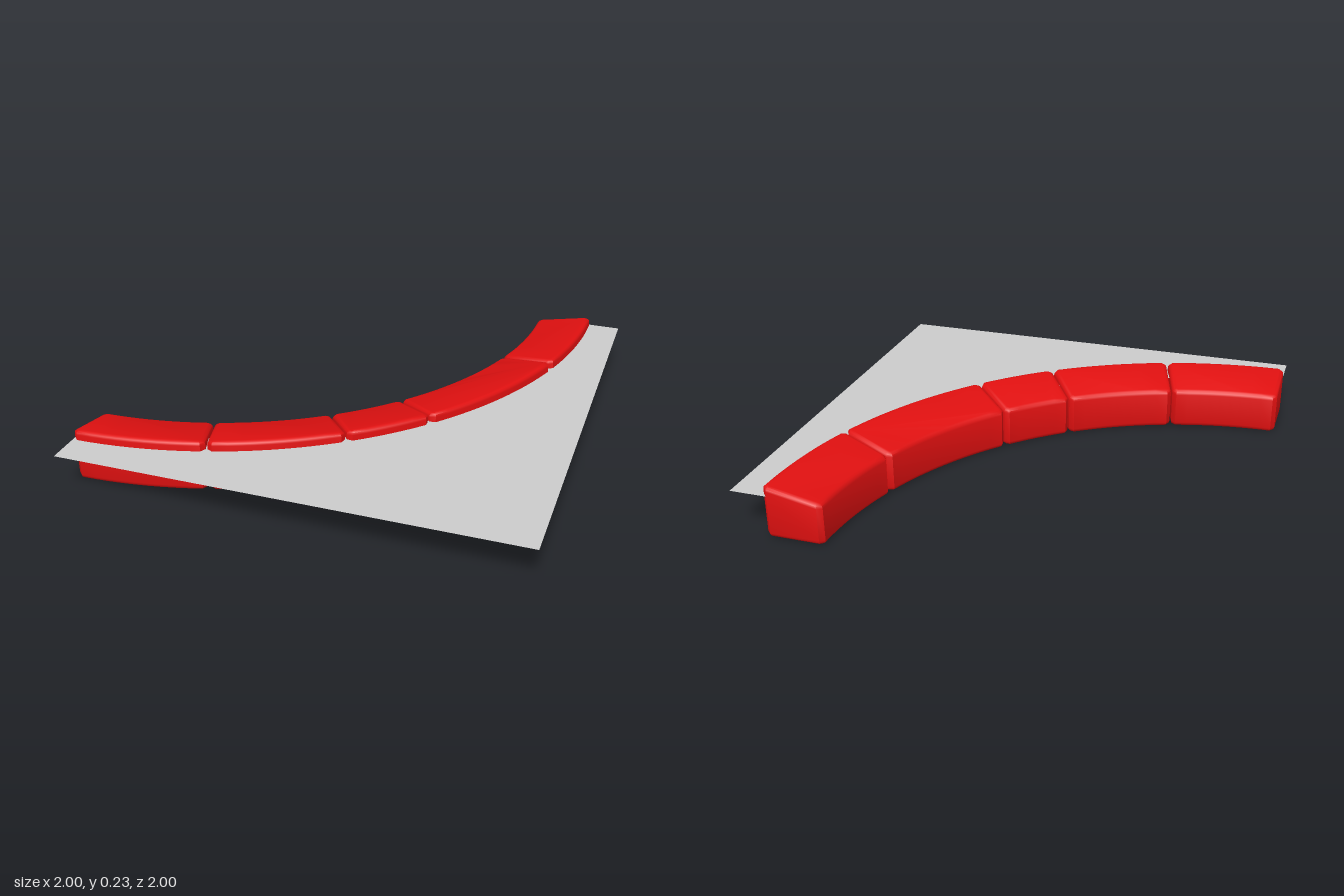
import * as THREE from 'three';
import { toCreasedNormals } from 'three/addons/utils/BufferGeometryUtils.js';

const INNER = 1.595, OUTER = 1.855, HEIGHT = 0.235, BEVEL = 0.02, SLOPE = 0.05;

// One block of the curved kerb, between two angles about the arc centre
function blockGeometry(fromDeg, toDeg) {
  const r0 = INNER + BEVEL, r1 = OUTER - BEVEL, cut = 0.008;
  const a0 = THREE.MathUtils.degToRad(fromDeg), a1 = THREE.MathUtils.degToRad(toDeg);
  const steps = Math.max(4, Math.round((toDeg - fromDeg) / 2));
  const points = [];
  const add = (r, a) => points.push(new THREE.Vector2(r * Math.cos(a), r * Math.sin(a)));
  const side = (r, from, to) => {
    for (let i = 0; i <= steps; i++) add(r, from + (to - from) * i / steps);
  };
  // plan outline with slightly clipped corners
  const o = BEVEL / r1, n = BEVEL / r0, c = cut / r1;
  add(r1 - cut, a0 + o);
  side(r1, a0 + o + c, a1 - o - c);
  add(r1 - cut, a1 - o);
  add(r0 + cut, a1 - n);
  side(r0, a1 - n - c, a0 + n + c);
  add(r0 + cut, a0 + n);

  const geometry = new THREE.ExtrudeGeometry(new THREE.Shape(points), {
    depth: HEIGHT - 2 * BEVEL, bevelThickness: BEVEL, bevelSize: BEVEL, bevelSegments: 3,
  });
  geometry.rotateX(Math.PI / 2).translate(0, HEIGHT - BEVEL, 0);

  // the top falls towards the inside of the curve
  const p = geometry.attributes.position;
  for (let i = 0; i < p.count; i++) {
    if (p.getY(i) < HEIGHT / 2) continue;
    const t = (OUTER - Math.hypot(p.getX(i), p.getZ(i))) / (OUTER - INNER);
    p.setY(i, p.getY(i) - SLOPE * t);
  }
  return toCreasedNormals(geometry, 0.7);
}

export function createModel() {
  const model = new THREE.Group();
  model.name = 'curvedKerb';
  const red = new THREE.MeshStandardMaterial({ color: 0xe01010 });
  const grey = new THREE.MeshStandardMaterial({ color: 0xcccccc, side: THREE.DoubleSide });

  // kerb blocks of uneven length
  const kerb = new THREE.Group();
  kerb.name = 'kerbBlocks';
  kerb.position.set(-1, 0, -1);
  const joints = [0, 17.9, 42, 54, 72.1, 90], gap = 0.12;
  for (let i = 0; i < 5; i++) {
    const from = joints[i] + (i > 0 ? gap : 0);
    const to = joints[i + 1] - (i < 4 ? gap : 0);
    const block = new THREE.Mesh(blockGeometry(from, to), red);
    block.name = 'kerbBlock' + (i + 1);
    kerb.add(block);
  }
  model.add(kerb);

  // thin pavement sheet filling the outer corner
  const shape = new THREE.Shape();
  shape.moveTo(1, -1);
  shape.lineTo(1, 1);
  shape.lineTo(-1, 1);
  shape.absarc(-1, -1, 1.75, Math.PI / 2, 0, true);
  const sheet = new THREE.ShapeGeometry(shape, 40);
  // flipped so that its front faces up
  sheet.scale(1, -1, 1).rotateX(-Math.PI / 2);
  const index = sheet.index.array;
  for (let i = 0; i < index.length; i += 3) [index[i], index[i + 1]] = [index[i + 1], index[i]];
  sheet.computeVertexNormals();
  const pavement = new THREE.Mesh(sheet, grey);
  pavement.name = 'pavement';
  pavement.position.y = 0.19;
  model.add(pavement);

  return model;
}
